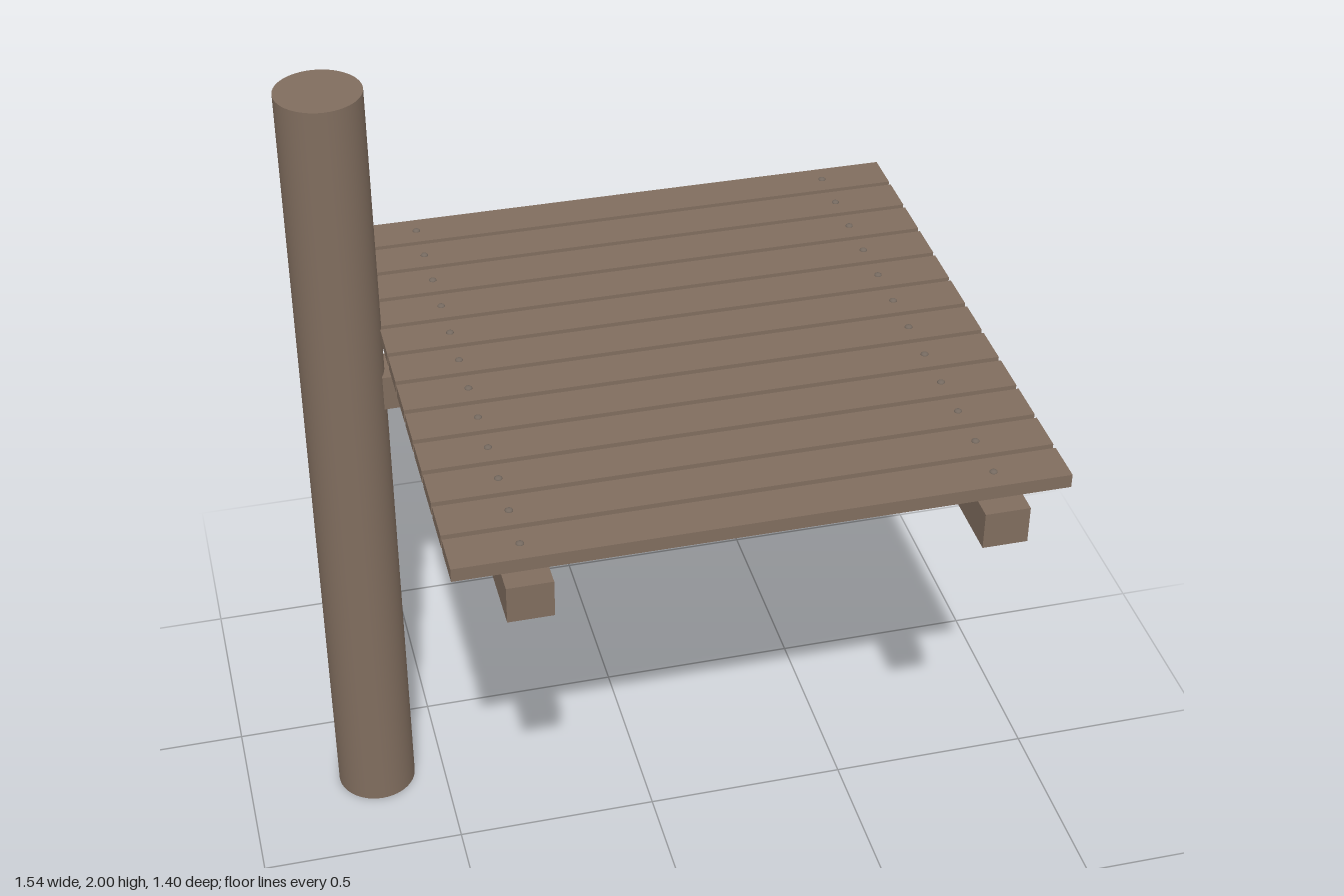
import * as THREE from 'three';

export function createModel() {
  const group = new THREE.Group();
  const wood = new THREE.MeshStandardMaterial({ color: 0x806d5e });
  wood.name = 'weathered wood';
  const steel = new THREE.MeshStandardMaterial({ color: 0x75695f });
  steel.name = 'dull nail metal';

  const add = (name, geometry, material, x, y, z) => {
    const mesh = new THREE.Mesh(geometry, material);
    mesh.name = name;
    mesh.position.set(x, y, z);
    group.add(mesh);
    return mesh;
  };

  // Round upright post
  add('post', new THREE.CylinderGeometry(0.098, 0.098, 2, 48), wood, -0.672, 1, -0.278);

  // Cross beam fixed to the post
  add('crossBeam', new THREE.BoxGeometry(1.352, 0.088, 0.1), wood, 0.09, 1.228, -0.276);

  // Two joists resting on the beam
  const joistX = [-0.427, 0.596];
  const joist = new THREE.BoxGeometry(0.1, 0.088, 1.366);
  joistX.forEach((x) => add('joist', joist, wood, x, 1.316, 0.017));

  // Deck planks, each nailed down at both joists
  const plank = new THREE.BoxGeometry(1.335, 0.032, 0.1);
  const nail = new THREE.SphereGeometry(0.009, 12, 4, 0, Math.PI * 2, 0, Math.PI / 2);
  nail.scale(1, 0.6, 1);
  for (let i = 0; i < 12; i++) {
    const z = -0.653 + i * 0.114;
    add('plank', plank, wood, 0.0875, 1.376, z);
    joistX.forEach((x) => add('nailHead', nail, steel, x, 1.392, z));
  }

  return group;
}
